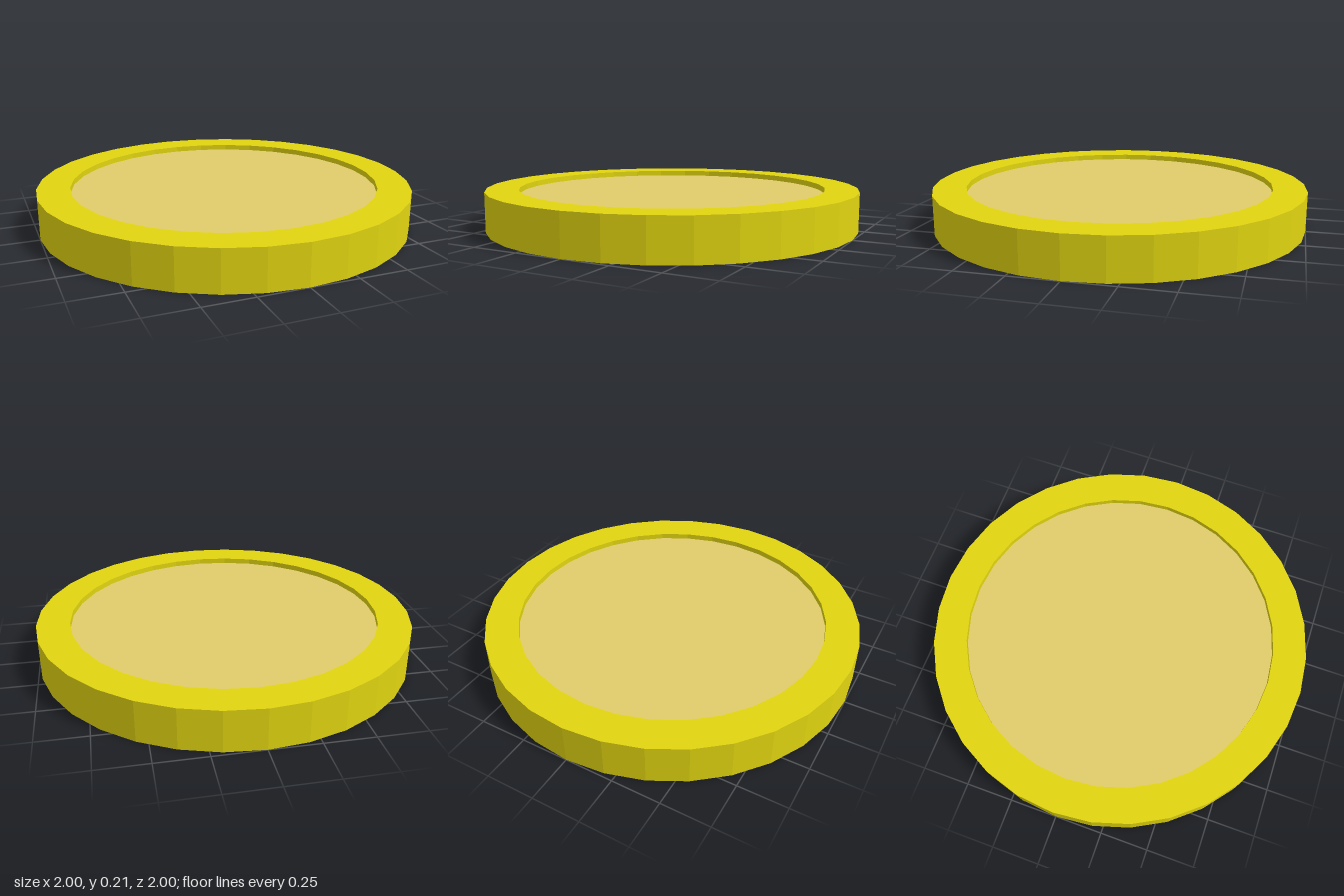
import * as THREE from 'three';

const SIDES = 32, OUTER = 1, INNER = 0.825, HEIGHT = 0.21, RECESS = 0.03;

export function createModel() {
  const coin = new THREE.Group();
  coin.name = 'coin';

  // Raised rim: rectangular ring section turned around the vertical axis
  const section = [
    [OUTER, 0], [OUTER, HEIGHT], [INNER, HEIGHT], [INNER, 0], [OUTER, 0],
  ].map(([r, y]) => new THREE.Vector2(r, y));
  const rim = new THREE.Mesh(
    new THREE.LatheGeometry(section, SIDES),
    new THREE.MeshStandardMaterial({ color: 0xe0d410, flatShading: true }),
  );
  rim.name = 'rim';

  // Centre disc, recessed equally on both faces
  const disc = new THREE.Mesh(
    new THREE.CylinderGeometry(INNER, INNER, HEIGHT - 2 * RECESS, SIDES),
    new THREE.MeshStandardMaterial({ color: 0xe0cc6a, flatShading: true }),
  );
  disc.name = 'centreDisc';
  disc.position.y = HEIGHT / 2;

  coin.add(rim, disc);
  return coin;
}
